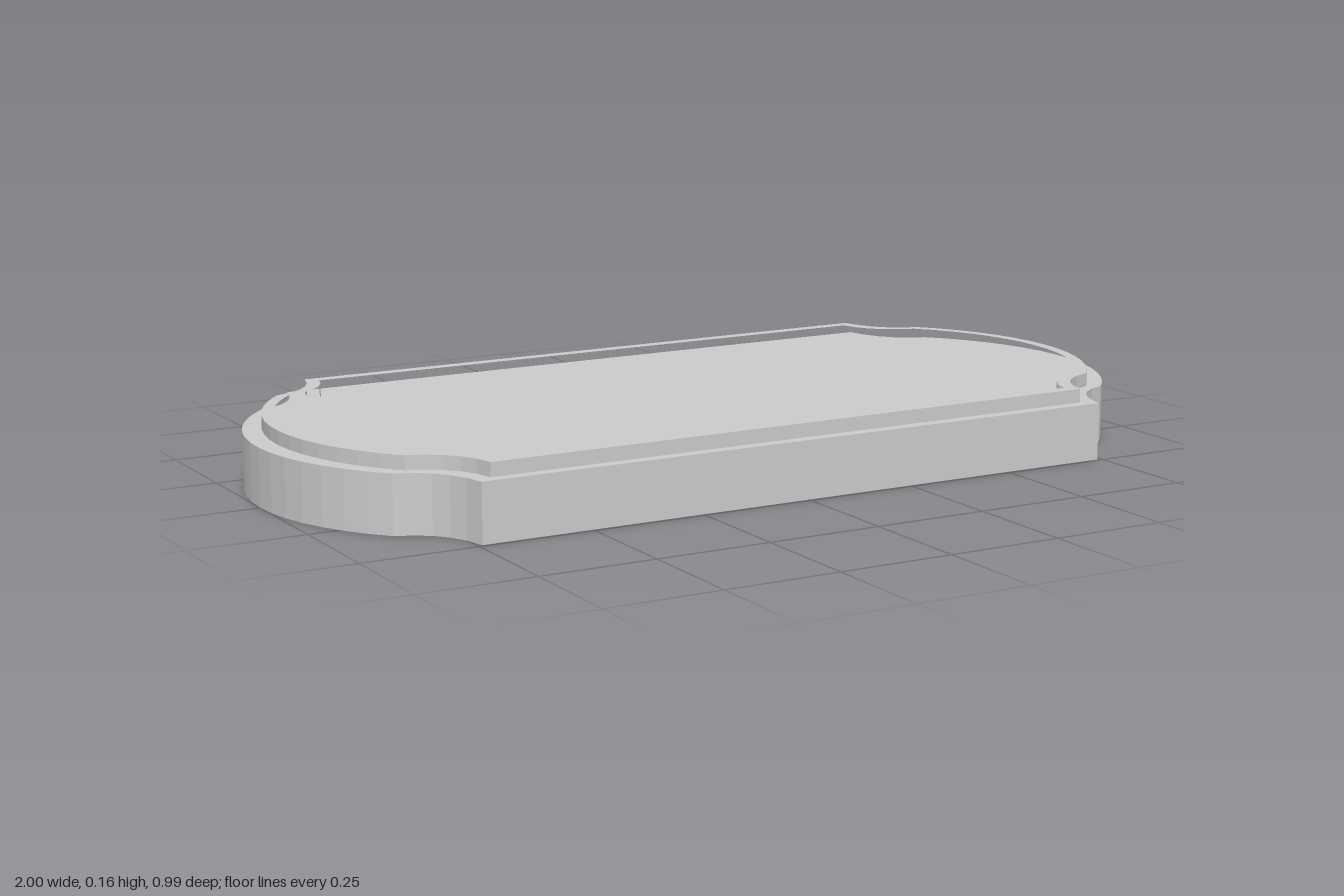
import * as THREE from 'three';

const material = new THREE.MeshStandardMaterial({ color: 0xcccccc, flatShading: true });

// Closed outline: straight long sides, scooped corners, bowed ends.
// corner: end of the long side, joint: where scoop meets bow, endX: tip of the bow.
function outline([cx, cz], [jx, jz], endX) {
  const scoop = new THREE.QuadraticBezierCurve(
    new THREE.Vector2(cx, cz),
    new THREE.Vector2(cx + 0.02, jz + 0.027),
    new THREE.Vector2(jx, jz)
  ).getPoints(5);
  const d = endX - jx;
  const radius = (d * d + jz * jz) / (2 * d);
  const half = Math.asin(jz / radius);
  const bow = [];
  for (let i = 1; i <= 7; i++) {
    const a = half * (1 - i / 7);
    bow.push(new THREE.Vector2(endX - radius + radius * Math.cos(a), radius * Math.sin(a)));
  }
  // one quarter, mirrored to the other three
  const quarter = [...scoop, ...bow];
  const flip = (pts, sx, sy) => pts.map((p) => new THREE.Vector2(p.x * sx, p.y * sy));
  const back = [...quarter].reverse();
  return [
    ...quarter,
    ...flip(back.slice(1), 1, -1),
    ...flip(quarter, -1, -1),
    ...flip(back.slice(1), -1, 1),
  ];
}

// Upright slab from an outline, with an optional opening
function slab(name, points, hole, bottom, top) {
  const shape = new THREE.Shape(points);
  if (hole) shape.holes.push(new THREE.Path(hole));
  const geometry = new THREE.ExtrudeGeometry(shape, { depth: top - bottom, bevelEnabled: false });
  geometry.rotateX(-Math.PI / 2).translate(0, bottom, 0);
  const mesh = new THREE.Mesh(geometry, material);
  mesh.name = name;
  return mesh;
}

export function createModel() {
  const group = new THREE.Group();
  group.name = 'plinth';
  const outer = outline([0.74, 0.493], [0.86, 0.345], 1);
  const lipOuter = outline([0.708, 0.467], [0.828, 0.332], 0.957);
  const lipInner = outline([0.685, 0.44], [0.808, 0.318], 0.932);
  group.add(slab('base', outer, null, 0, 0.125));
  group.add(slab('raisedRim', lipOuter, lipInner, 0.125, 0.155));
  return group;
}
